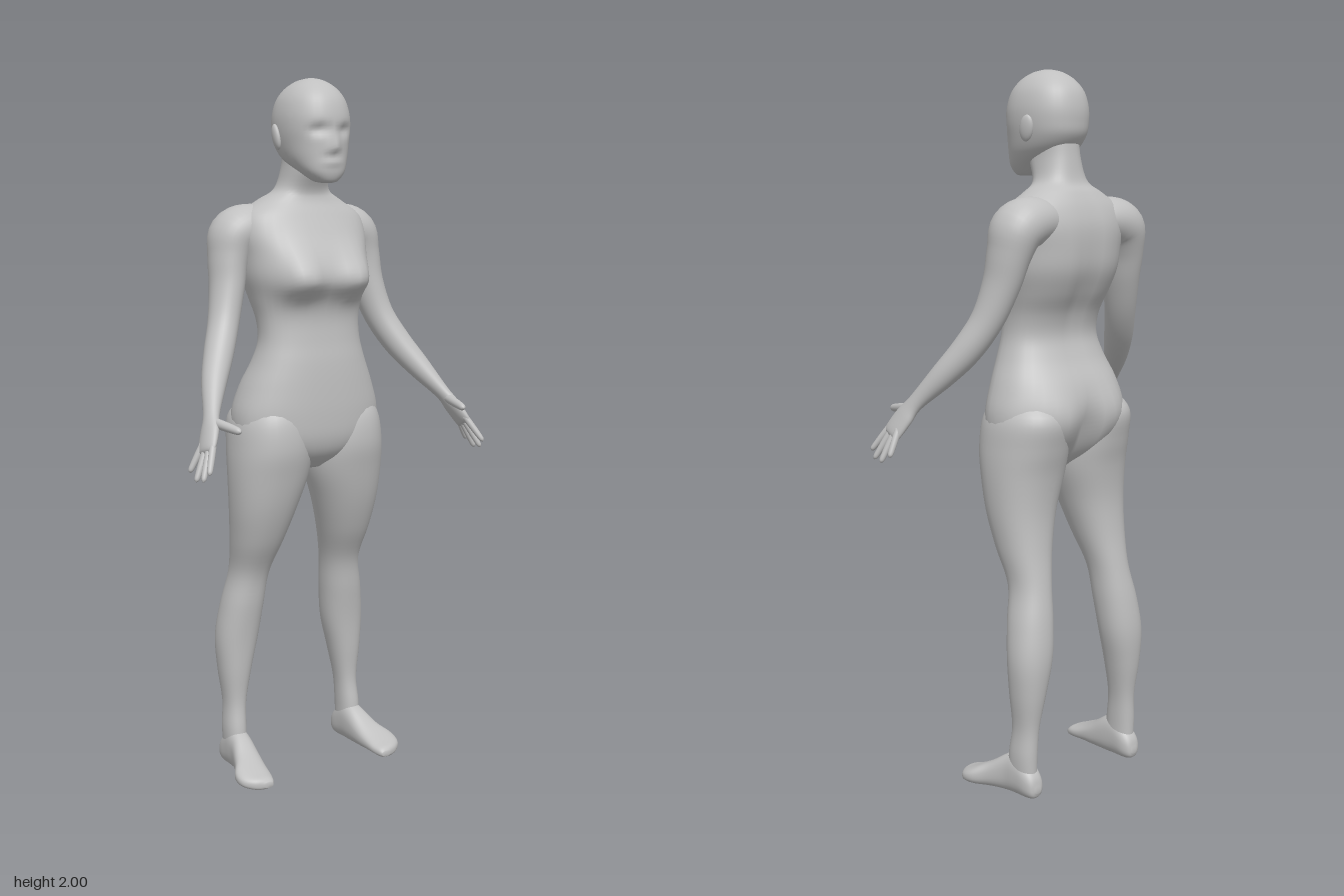
import * as THREE from 'three';

const clay = new THREE.MeshStandardMaterial({ color: 0xc0c0c0 });
clay.name = 'clay grey';
const AROUND = 36;

// Smoothly resample a list of cross-sections
function resample(sections, steps = 5) {
  const size = sections[0].length, last = sections.length - 1;
  const curve = new THREE.CubicInterpolant(sections.map((_, i) => i), sections.flat(), size, new Array(size));
  const out = [];
  for (let i = 0; i <= last * steps; i++) out.push([...curve.evaluate(i / steps)]);
  return out;
}

// Skin rings of points, close both ends, and wind the faces outward
function skin(rings) {
  const n = rings[0].length, pts = rings.flat(), idx = [];
  for (let r = 0; r < rings.length - 1; r++) {
    for (let i = 0; i < n; i++) {
      const j = (i + 1) % n, a = r * n + i, b = r * n + j;
      idx.push(a, b, a + n, b, b + n, a + n);
    }
  }
  for (const r of [0, rings.length - 1]) {
    const c = pts.length;
    pts.push(rings[r].reduce((s, p) => s.add(p), new THREE.Vector3()).divideScalar(n));
    for (let i = 0; i < n; i++) {
      const a = r * n + i, b = r * n + (i + 1) % n;
      if (r) idx.push(a, b, c); else idx.push(b, a, c);
    }
  }
  let volume = 0;
  const t = new THREE.Vector3();
  for (let i = 0; i < idx.length; i += 3) {
    volume += pts[idx[i]].dot(t.crossVectors(pts[idx[i + 1]], pts[idx[i + 2]]));
  }
  if (volume < 0) idx.reverse();
  const geo = new THREE.BufferGeometry().setFromPoints(pts);
  geo.setIndex(idx);
  geo.computeVertexNormals();
  return geo;
}

// Rounded outline between two limits on each axis
function outline(u0, u1, v0, v1, power, place) {
  const ring = [], f = (c) => Math.sign(c) * Math.abs(c) ** (2 / power);
  for (let i = 0; i < AROUND; i++) {
    const a = (i / AROUND) * Math.PI * 2;
    ring.push(place((u0 + u1) / 2 + (u1 - u0) / 2 * f(Math.cos(a)), (v0 + v1) / 2 + (v1 - v0) / 2 * f(Math.sin(a))));
  }
  return ring;
}

// Upright loft: sections are [y, x0, x1, zFront, zBack]
const loftY = (sections, side = 1, power = 2.2) => skin(resample(sections).map(([y, x0, x1, zf, zb]) =>
  outline(x0, x1, zb, zf, power, (x, z) => new THREE.Vector3(x * side, y, z))));

// Lengthwise loft: sections are [z, x0, x1, y0, y1]
const loftZ = (sections, side = 1, power = 2.4) => skin(resample(sections).map(([z, x0, x1, y0, y1]) =>
  outline(x0, x1, y0, y1, power, (x, y) => new THREE.Vector3(x * side, y, z))));

// Swept limb: sections are [x, y, z, thickness radius, width radius]
function sweep(sections, side = 1, ref = new THREE.Vector3(0, 0, 1)) {
  const rows = resample(sections), at = (i) => new THREE.Vector3(...rows[i]);
  return skin(rows.map((row, i) => {
    const t = at(Math.min(i + 1, rows.length - 1)).sub(at(Math.max(i - 1, 0))).normalize();
    const a = new THREE.Vector3().crossVectors(t, ref).normalize();
    const b = new THREE.Vector3().crossVectors(t, a);
    return outline(-row[3], row[3], -row[4], row[4], 2, (u, v) => {
      const p = at(i).addScaledVector(a, u).addScaledVector(b, v);
      p.x *= side;
      return p;
    });
  }));
}

// Push the surface in z with soft bumps: [x, y, z, width, reach up, reach down, push]
function sculpt(geo, bumps) {
  const p = geo.attributes.position;
  for (let i = 0; i < p.count; i++) {
    let dz = 0;
    for (const [x, y, z, w, up, down, push] of bumps) {
      const dy = p.getY(i) - y;
      const d = ((p.getX(i) - x) / w) ** 2 + (dy / (dy > 0 ? up : down)) ** 2 + ((p.getZ(i) - z) / 0.07) ** 2;
      dz += push * Math.exp(-d);
    }
    p.setZ(i, p.getZ(i) + dz);
  }
  geo.computeVertexNormals();
  return geo;
}

const both = (list) => list.flatMap(([x, ...rest]) => [[x, ...rest], [-x, ...rest]]);
const centred = (list) => list.map(([s, w, ...rest]) => [s, -w, w, ...rest]);

export function createModel() {
  const model = new THREE.Group();
  model.name = 'standingFigure';
  const add = (name, geo, parent = model) => {
    const mesh = new THREE.Mesh(geo, clay);
    mesh.name = name;
    parent.add(mesh);
    return mesh;
  };

  // Torso from crotch to neck, with bust, buttocks and spine groove
  const torso = loftY(centred([
    [0.91, 0.04, -0.01, -0.10], [0.95, 0.14, 0.04, -0.15], [1.0, 0.215, 0.062, -0.18],
    [1.07, 0.228, 0.067, -0.19], [1.15, 0.205, 0.065, -0.178], [1.22, 0.175, 0.06, -0.148],
    [1.28, 0.157, 0.052, -0.13], [1.34, 0.157, 0.048, -0.142], [1.40, 0.17, 0.055, -0.175],
    [1.46, 0.186, 0.065, -0.2], [1.52, 0.192, 0.055, -0.207], [1.58, 0.2, 0.03, -0.205],
    [1.63, 0.185, 0.005, -0.19], [1.67, 0.125, -0.015, -0.168], [1.70, 0.078, -0.015, -0.146],
    [1.76, 0.062, 0.012, -0.133], [1.82, 0.06, 0.015, -0.125],
  ]), 1, 2.35);
  add('torso', sculpt(torso, [
    ...both([
      [0.09, 1.445, 0.06, 0.07, 0.085, 0.045, 0.058],
      [0.1, 1.06, -0.18, 0.08, 0.09, 0.08, -0.028],
    ]),
    [0, 1.4, -0.18, 0.03, 0.2, 0.15, 0.016],
    [0, 1.02, -0.18, 0.02, 0.07, 0.1, 0.03],
  ]));

  // Head with brow, eye sockets, nose, lips and chin
  const head = loftY(centred([
    [1.716, 0.015, 0.068, 0.035], [1.722, 0.035, 0.08, 0.01], [1.745, 0.06, 0.088, -0.03],
    [1.78, 0.082, 0.088, -0.105], [1.82, 0.094, 0.088, -0.142], [1.86, 0.1, 0.09, -0.15],
    [1.9, 0.099, 0.087, -0.149], [1.94, 0.088, 0.074, -0.137], [1.97, 0.067, 0.05, -0.112],
    [1.99, 0.039, 0.018, -0.08], [1.998, 0.015, -0.01, -0.05], [2.0, 0.001, -0.03, -0.032],
  ]));
  add('head', sculpt(head, [
    ...both([[0.04, 1.858, 0.08, 0.022, 0.014, 0.018, -0.014]]),
    [0, 1.808, 0.09, 0.016, 0.035, 0.012, 0.016],
    [0, 1.77, 0.09, 0.03, 0.01, 0.01, 0.005],
  ]));

  for (const [label, side] of [['left', 1], ['right', -1]]) {
    // Ear
    const ear = add(label + 'Ear', new THREE.SphereGeometry(1, 20, 14));
    ear.scale.set(0.011, 0.036, 0.021);
    ear.position.set(0.099 * side, 1.84, -0.05);
    ear.rotation.set(-0.2, 0.25 * side, -0.08 * side);

    // Leg from hip to ankle
    add(label + 'Leg', loftY([
      [1.12, 0.06, 0.185, 0.02, -0.15], [1.06, 0.02, 0.226, 0.055, -0.2], [0.98, 0.006, 0.238, 0.064, -0.19],
      [0.9, 0.01, 0.241, 0.05, -0.172], [0.8, 0.042, 0.236, 0.025, -0.162], [0.7, 0.073, 0.225, -0.012, -0.168],
      [0.6, 0.1, 0.215, -0.06, -0.184], [0.5, 0.11, 0.235, -0.076, -0.202], [0.4, 0.122, 0.248, -0.09, -0.211],
      [0.3, 0.145, 0.242, -0.098, -0.203], [0.2, 0.165, 0.23, -0.105, -0.188], [0.12, 0.17, 0.234, -0.095, -0.186],
      [0.05, 0.172, 0.23, -0.09, -0.185],
    ], side));

    // Foot, turned slightly outward
    add(label + 'Foot', loftZ([
      [-0.2, 0.19, 0.21, 0.02, 0.035], [-0.192, 0.177, 0.225, 0.005, 0.065], [-0.17, 0.169, 0.233, 0, 0.09],
      [-0.13, 0.168, 0.236, 0, 0.12], [-0.09, 0.168, 0.24, 0, 0.11], [-0.04, 0.17, 0.257, 0, 0.078],
      [0, 0.174, 0.278, 0, 0.057], [0.035, 0.178, 0.275, 0, 0.042], [0.06, 0.185, 0.25, 0, 0.033],
      [0.072, 0.192, 0.218, 0.006, 0.022],
    ], side));

    // Shoulder, arm and palm in one sweep
    add(label + 'Arm', sweep([
      [0.06, 1.585, -0.115, 0.05, 0.06], [0.14, 1.593, -0.117, 0.066, 0.076], [0.198, 1.572, -0.117, 0.07, 0.078],
      [0.221, 1.51, -0.11, 0.056, 0.066], [0.235, 1.43, -0.095, 0.048, 0.056], [0.262, 1.335, -0.068, 0.043, 0.047],
      [0.3, 1.255, -0.028, 0.041, 0.043], [0.342, 1.185, 0.022, 0.034, 0.036], [0.385, 1.11, 0.085, 0.02, 0.026],
      [0.405, 1.07, 0.112, 0.018, 0.035], [0.425, 1.03, 0.134, 0.014, 0.036], [0.43, 1.018, 0.14, 0.006, 0.028],
    ], side));

    // Hand digits: base and tip of each
    const hand = new THREE.Group();
    hand.name = label + 'Fingers';
    model.add(hand);
    const digits = {
      indexFinger: [[0.417, 1.045, 0.153], [0.453, 0.973, 0.197]],
      middleFinger: [[0.422, 1.035, 0.142], [0.46, 0.952, 0.176]],
      ringFinger: [[0.425, 1.03, 0.128], [0.464, 0.947, 0.143]],
      littleFinger: [[0.425, 1.04, 0.112], [0.463, 0.966, 0.105]],
      thumb: [[0.392, 1.095, 0.1], [0.367, 1.08, 0.212]],
    };
    for (const [name, [from, to]] of Object.entries(digits)) {
      const r = name === 'thumb' ? 0.013 : 0.0095;
      const ref = new THREE.Vector3(name === 'thumb' ? 1 : 0, 0, name === 'thumb' ? 0 : 1);
      const steps = [[0, 1], [0.35, 1], [0.7, 0.9], [0.92, 0.72], [1, 0.2]];
      add(name, sweep(steps.map(([k, s]) =>
        [...from.map((v, i) => v + (to[i] - v) * k), r * s, r * s]), side, ref), hand);
    }
  }
  return model;
}
